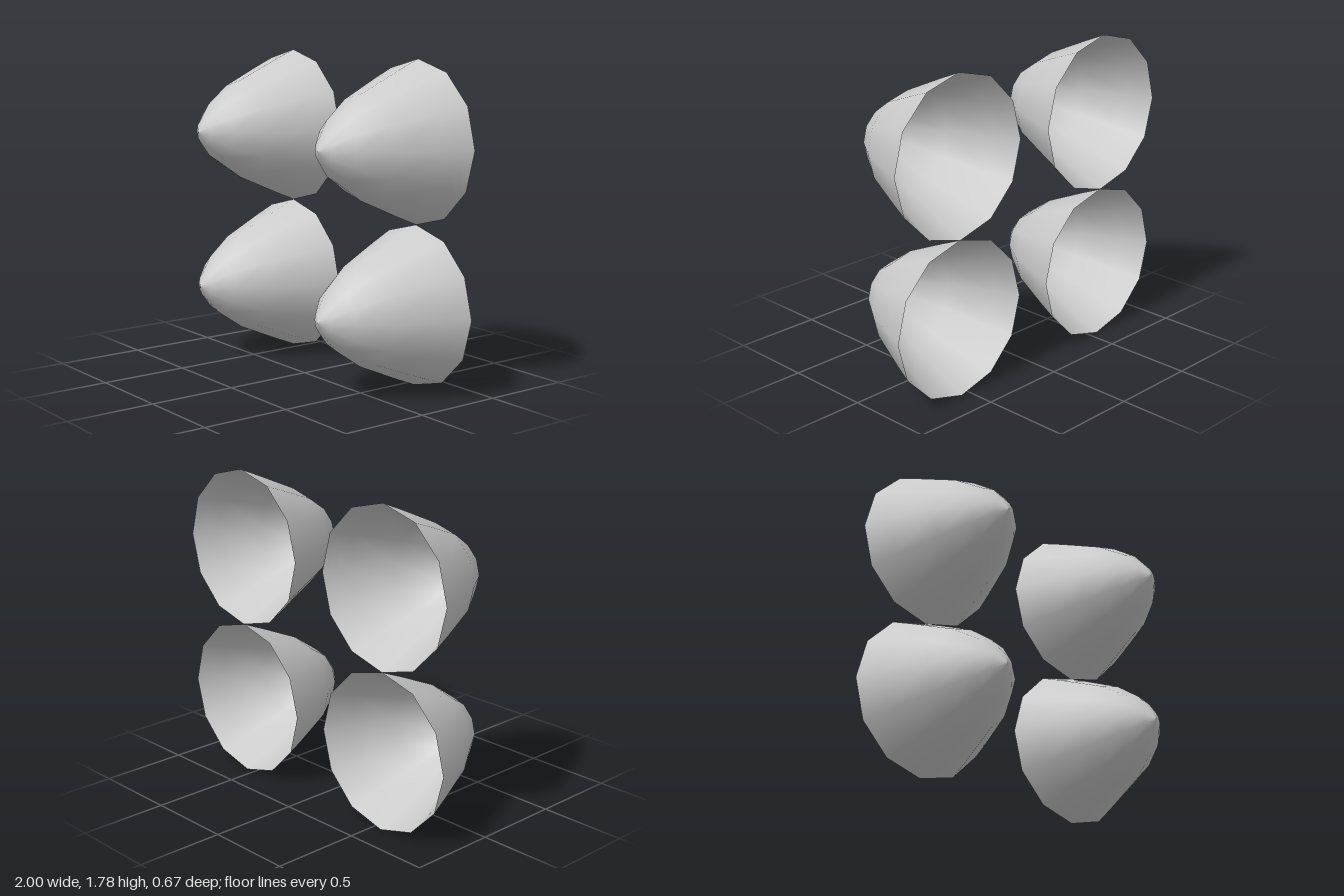
import * as THREE from 'three';

export function createModel() {
  const model = new THREE.Group();
  const material = new THREE.MeshStandardMaterial({ color: 0xcccccc, side: THREE.DoubleSide });

  // Thin open bowl: radius and depth from the wide rim to the rounded tip
  const radius = 0.446;
  const profile = [
    [radius, -0.335], [0.39, -0.2], [0.28, 0.05], [0.17, 0.21], [0.07, 0.3], [0, 0.335],
  ].map(([r, z]) => new THREE.Vector2(r, z));
  const bowl = new THREE.LatheGeometry(profile, 12);
  bowl.rotateX(Math.PI / 2); // tip faces the front

  // Two columns of two stacked cones
  for (const [side, x] of [['left', 1 - radius], ['right', radius - 1]]) {
    for (const [level, y] of [['Lower', radius], ['Upper', radius * 3]]) {
      const cone = new THREE.Mesh(bowl, material);
      cone.name = `${side}${level}Cone`;
      cone.position.set(x, y, 0);
      model.add(cone);
    }
  }
  return model;
}
